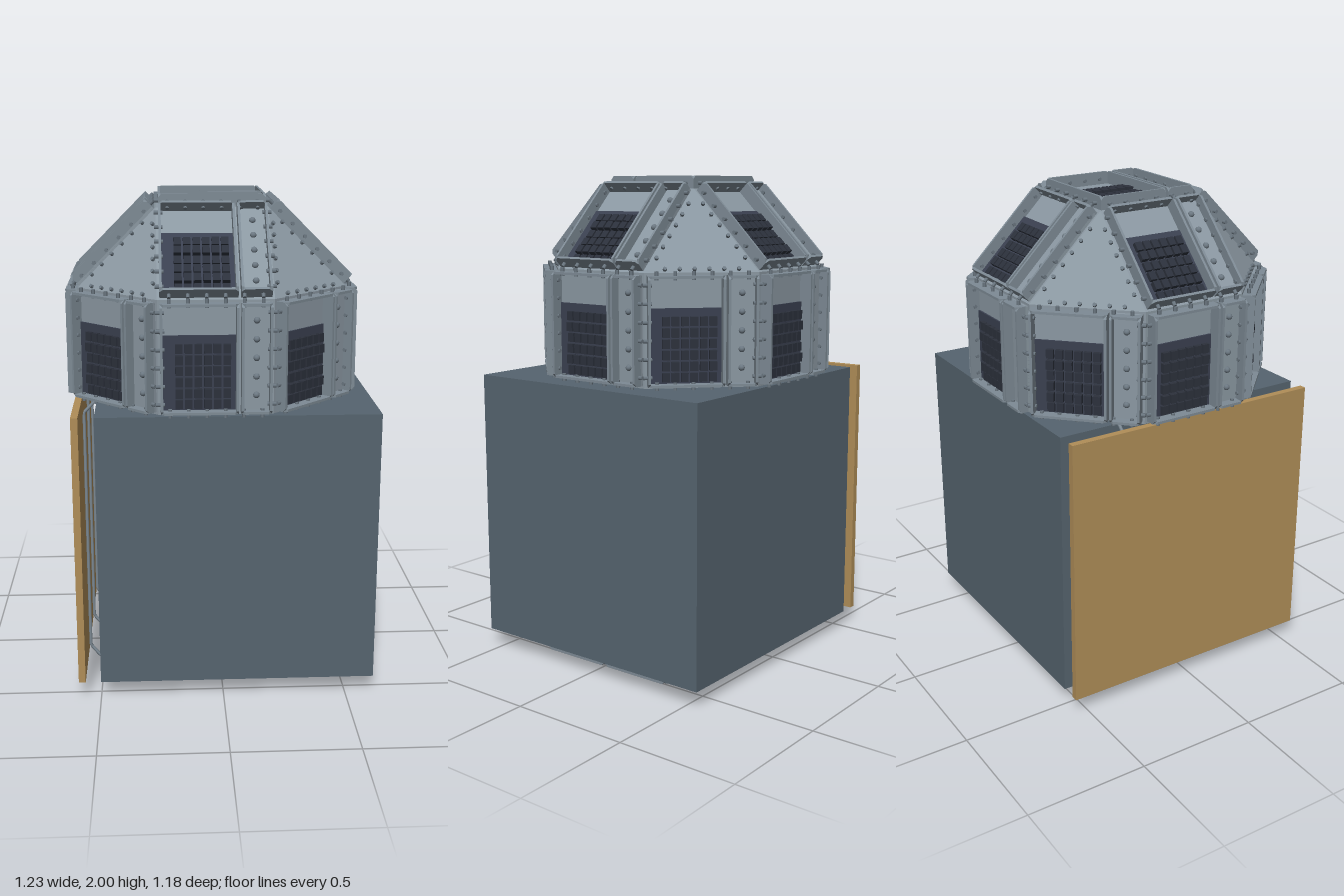
import * as THREE from 'three';
import { mergeGeometries } from 'three/addons/utils/BufferGeometryUtils.js';

const mat = (name, color, extra = {}) => {
  const m = new THREE.MeshStandardMaterial({ color, ...extra });
  m.name = name;
  return m;
};

const H = 0.2225;            // half edge of a square dome face
const A = H * (1 + Math.SQRT2); // distance of every square face from the dome centre
const LIP = 0.051;           // height of the flanges

const merge = (list) => mergeGeometries(list.map((g) => (g.index ? g.toNonIndexed() : g)));

// box given by its ranges
function box(x0, x1, y0, y1, z0, z1) {
  return new THREE.BoxGeometry(x1 - x0, y1 - y0, z1 - z0)
    .translate((x0 + x1) / 2, (y0 + y1) / 2, (z0 + z1) / 2);
}

// thin upright flange with cut corners, running along x and standing up in z
function flange(length, height) {
  const l = length / 2, c = 0.014;
  const s = new THREE.Shape();
  s.moveTo(-l, 0);
  s.lineTo(l, 0);
  s.lineTo(l, height - c);
  s.lineTo(l - c, height);
  s.lineTo(c - l, height);
  s.lineTo(-l, height - c);
  return new THREE.ExtrudeGeometry(s, { depth: 0.01, bevelEnabled: false })
    .translate(0, 0, -0.005).rotateX(Math.PI / 2);
}

// four flanges around a rectangle
function flangeRing(u0, u1, v0, v1, height) {
  const um = (u0 + u1) / 2, vm = (v0 + v1) / 2;
  const out = [];
  for (const v of [v0 + 0.005, v1 - 0.005]) out.push(flange(u1 - u0, height).translate(um, v, 0));
  for (const u of [u0 + 0.005, u1 - 0.005]) {
    out.push(flange(v1 - v0, height).rotateZ(Math.PI / 2).translate(u, vm, 0));
  }
  return out;
}

// bolts through the flanges of a rectangle
function edgeBolts(u0, u1, v0, v1, n, height) {
  const out = [];
  for (let i = 0; i < n; i++) {
    const t = (i + 0.5) / n;
    for (const u of [u0, u1]) {
      out.push(new THREE.CylinderGeometry(0.008, 0.008, 0.034, 6)
        .rotateZ(Math.PI / 2).translate(u, v0 + (v1 - v0) * t, height));
    }
    for (const v of [v0, v1]) {
      out.push(new THREE.CylinderGeometry(0.008, 0.008, 0.034, 6)
        .translate(u0 + (u1 - u0) * t, v, height));
    }
  }
  return out;
}

// grid of raised pads
function pads(u0, u1, v0, v1, n) {
  const out = [], du = (u1 - u0) / n, dv = (v1 - v0) / n, gap = 0.004;
  for (let i = 0; i < n; i++) {
    for (let j = 0; j < n; j++) {
      const u = u0 + i * du, v = v0 + j * dv;
      const top = 0.02 + 0.004 * ((i * 3 + j * 5) % 3);
      out.push(box(u + gap, u + du - gap, v + gap, v + dv - gap, 0.005, top));
    }
  }
  return out;
}

export function createModel() {
  const M = {
    plate: mat('plate grey', 0x8b98a2, { side: THREE.DoubleSide }),
    frame: mat('flange grey', 0x7e8b95),
    bolt: mat('bolt grey', 0x6c7882),
    base: mat('slate grey', 0x56646f),
    cell: mat('dark blue grey', 0x3a4050),
    pad: mat('charcoal', 0x2c313c),
    board: mat('tan', 0xb08e58),
  };
  const model = new THREE.Group();
  model.name = 'domedCabinet';
  const add = (parent, name, geometry, material) => {
    const mesh = new THREE.Mesh(geometry, material);
    mesh.name = name;
    parent.add(mesh);
    return mesh;
  };

  // cabinet and side board
  add(model, 'cabinet', box(-0.5, 0.615, 0.07, 1.185, -0.555, 0.555), M.base);
  add(model, 'sideBoard', box(-0.59, -0.562, 0.07, 1.185, -0.555, 0.555), M.board);

  // thin bent straps holding the board
  for (const z of [-0.3, 0, 0.3]) {
    const path = new THREE.CurvePath();
    const pts = [[-0.38, 0.062], [-0.51, 0.064], [-0.552, 0.115], [-0.552, 1.14], [-0.505, 1.188], [-0.45, 1.188]]
      .map(([x, y]) => new THREE.Vector3(x, y, z));
    for (let i = 1; i < pts.length; i++) path.add(new THREE.LineCurve3(pts[i - 1], pts[i]));
    add(model, 'boardStrap', new THREE.TubeGeometry(path, 80, 0.007, 6), M.frame);
  }

  // shared geometry of a square dome face
  const E = 0.213, S0 = 0.095, G1 = 0.085;
  const rivets = [];
  for (let i = 0; i < 5; i++) {
    rivets.push(new THREE.SphereGeometry(0.013, 10, 5, 0, Math.PI * 2, 0, Math.PI / 2)
      .rotateX(Math.PI / 2).translate((S0 + E) / 2, -0.145 + i * 0.0725, 0.012));
  }
  const faceParts = [
    ['facePlate', merge([box(-H, H, -H, H, -0.01, 0), box(S0, E, -E, E, 0, 0.012)]), M.plate],
    ['faceFlanges', merge([...flangeRing(-E, G1, -E, E, LIP), ...flangeRing(S0, E, -E, E, LIP)]), M.frame],
    ['gridBacking', box(-0.207, 0.079, -0.207, 0.088, 0, 0.007), M.cell],
    ['gridPads', merge(pads(-0.16, 0.06, -0.2, 0.06, 6)), M.pad],
    ['stripRivets', merge(rivets), M.bolt],
    ['edgeBolts', merge(edgeBolts(-E, E, -E, E, 6, 0.022)), M.bolt],
  ];

  const dome = new THREE.Group();
  dome.name = 'dome';
  dome.position.set(-0.03, 1.412, 0);
  model.add(dome);

  function face(name, yaw, pitch) {
    const g = new THREE.Group();
    g.name = name;
    g.rotation.set(-pitch, yaw, 0, 'YXZ');
    g.position.set(0, 0, A).applyEuler(g.rotation);
    for (const [n, geo, m] of faceParts) add(g, n, geo, m);
    dome.add(g);
  }
  for (let i = 0; i < 8; i++) face('wallFace', i * Math.PI / 4, 0);
  for (let i = 0; i < 4; i++) face('slopeFace', i * Math.PI / 2, Math.PI / 4);
  face('topFace', -Math.PI / 2, Math.PI / 2);

  // triangular corner plates with bolts along their edges
  const corner = [new THREE.Vector3(H, H, A), new THREE.Vector3(A, H, H), new THREE.Vector3(H, A, H)];
  const tri = new THREE.BufferGeometry().setFromPoints(corner);
  tri.setAttribute('uv', new THREE.Float32BufferAttribute([0, 0, 1, 0, 0, 1], 2));
  tri.computeVertexNormals();
  const middle = corner[0].clone().add(corner[1]).add(corner[2]).divideScalar(3);
  const turn = new THREE.Quaternion().setFromUnitVectors(
    new THREE.Vector3(0, 1, 0), middle.clone().normalize());
  const studs = [];
  for (let e = 0; e < 3; e++) {
    for (let k = 1; k < 7; k++) {
      const p = corner[e].clone().lerp(corner[(e + 1) % 3], k / 7).lerp(middle, 0.1);
      studs.push(new THREE.CylinderGeometry(0.008, 0.008, 0.024, 6)
        .applyQuaternion(turn).translate(p.x, p.y, p.z));
    }
  }
  const studGeo = merge(studs);
  for (let i = 0; i < 4; i++) {
    const g = new THREE.Group();
    g.name = 'cornerPlate';
    g.rotation.y = i * Math.PI / 2;
    add(g, 'triangle', tri, M.plate);
    add(g, 'triangleBolts', studGeo, M.bolt);
    dome.add(g);
  }

  // underside: four trays with pad grids, facing down
  const under = new THREE.Group();
  under.name = 'undersideTrays';
  under.position.set(0.06, 0.06, 0);
  under.rotation.x = Math.PI / 2;
  model.add(under);
  for (const sx of [-1, 1]) {
    for (const sz of [-1, 1]) {
      const tray = new THREE.Group();
      tray.name = 'tray';
      tray.position.set(sx * 0.225, sz * 0.16, 0);
      const c = -sx * 0.065;
      add(tray, 'trayPlate', box(-0.222, 0.222, -0.157, 0.157, -0.011, 0), M.base);
      add(tray, 'trayFlanges', merge(flangeRing(-0.222, 0.222, -0.157, 0.157, 0.06)), M.frame);
      add(tray, 'trayBacking', box(c - 0.14, c + 0.14, -0.14, 0.14, 0, 0.007), M.cell);
      add(tray, 'trayPads', merge(pads(c - 0.125, c + 0.125, -0.125, 0.125, 6)), M.pad);
      add(tray, 'trayBolts', merge(edgeBolts(-0.22, 0.22, -0.155, 0.155, 5, 0.03)), M.bolt);
      under.add(tray);
    }
  }
  return model;
}
